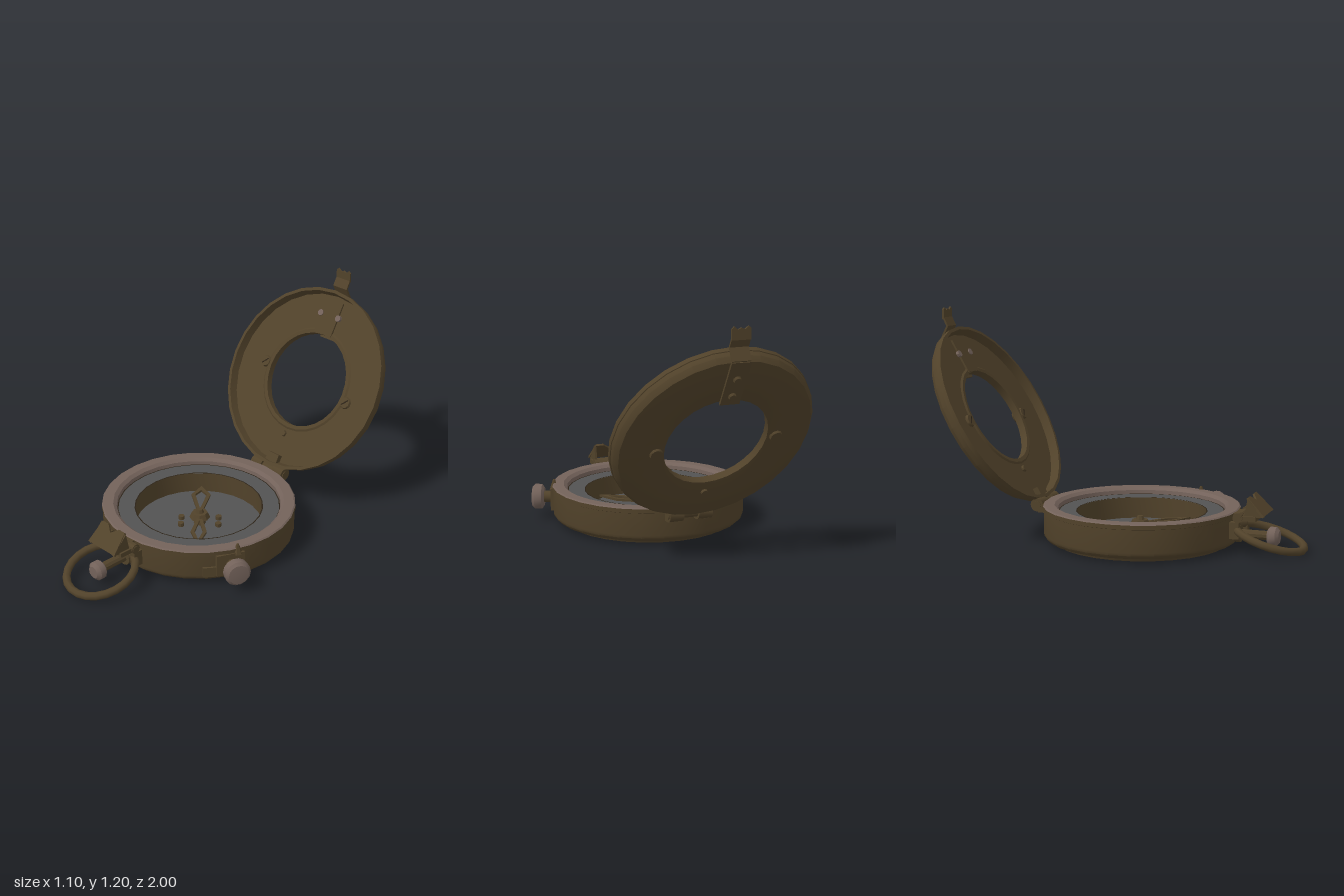
import * as THREE from 'three';
import { toCreasedNormals } from 'three/addons/utils/BufferGeometryUtils.js';

const makeMat = (name, color, side = THREE.FrontSide) => {
  const m = new THREE.MeshStandardMaterial({ color, side });
  m.name = name;
  return m;
};

export function createModel() {
  const brass = makeMat('dark brass', 0x51422a);
  const bezelMat = makeMat('worn copper', 0x73625a);
  const dialMat = makeMat('grey dial', 0x525252);
  const lineMat = makeMat('dark line', 0x2a2116);

  const root = new THREE.Group();
  root.name = 'pocketCompass';
  root.position.x = -0.045;

  const add = (parent, name, geo, mat, pos = [0, 0, 0], rot = [0, 0, 0]) => {
    const m = new THREE.Mesh(geo, mat);
    m.name = name;
    m.position.set(...pos);
    m.rotation.set(...rot);
    parent.add(m);
    return m;
  };
  const group = (parent, name, pos, rot = [0, 0, 0]) => {
    const g = new THREE.Group();
    g.name = name;
    g.position.set(...pos);
    g.rotation.set(...rot);
    parent.add(g);
    return g;
  };
  const lathe = (pts, seg = 28) =>
    toCreasedNormals(new THREE.LatheGeometry(pts.map(p => new THREE.Vector2(...p)), seg), 0.6);
  const shapeOf = pts => new THREE.Shape(pts.map(p => new THREE.Vector2(...p)));
  const extrude = (shape, depth) => new THREE.ExtrudeGeometry(shape, { depth, bevelEnabled: false });
  // side profile given as (z, y), centred across x
  const acrossX = (pts, width) => extrude(shapeOf(pts), width).rotateY(-Math.PI / 2).translate(width / 2, 0, 0);
  const box = (x, y, z) => new THREE.BoxGeometry(x, y, z);
  const cyl = (r, h, seg = 12, r2 = r) => toCreasedNormals(new THREE.CylinderGeometry(r, r2, h, seg), 0.6);
  const Q = Math.PI / 2;

  // Case
  const body = group(root, 'case', [0, 0, 0.125]);
  add(body, 'caseShell', lathe([[0, 0.022], [0.33, 0.022], [0.34, 0.005], [0.445, 0.005], [0.455, 0.024],
    [0.49, 0.027], [0.508, 0.045], [0.511, 0.06], [0.511, 0.176], [0.515, 0.178], [0.515, 0.199]]), brass);
  add(body, 'baseBoss', cyl(0.1, 0.012, 14), brass, [0, 0.018, 0]);
  add(body, 'bezel', lathe([[0.515, 0.199], [0.508, 0.205], [0.455, 0.205], [0.437, 0.19], [0.434, 0.165]]), bezelMat);
  add(body, 'dialRing', lathe([[0.436, 0.168], [0.34, 0.168]]), dialMat);
  add(body, 'dialOuterLine', lathe([[0.436, 0.170], [0.429, 0.170]]), lineMat);
  add(body, 'dialInnerLine', lathe([[0.343, 0.170], [0.337, 0.170]]), lineMat);
  add(body, 'innerWall', lathe([[0.34, 0.168], [0.34, 0.05]]), brass);
  add(body, 'dialFloor', lathe([[0.34, 0.055], [0, 0.055]]), dialMat);

  // Needle: two open lozenges on a pivot
  const needle = group(body, 'needle', [-0.002, 0.105, -0.008], [0, -0.795, 0]);
  const lozenge = (r0, rm, r1, w) => {
    const s = shapeOf([[r0, -0.012], [rm, -w], [r1, 0], [rm, w], [r0, 0.012]]);
    s.holes.push(new THREE.Path([[r0 + 0.03, 0], [rm, w - 0.02], [r1 - 0.045, 0], [rm, 0.02 - w]]
      .map(p => new THREE.Vector2(...p))));
    return extrude(s, 0.012).rotateX(Q);
  };
  add(needle, 'needleSouth', lozenge(0.03, 0.17, 0.295, 0.042), brass);
  add(needle, 'needleNorth', lozenge(0.03, 0.21, 0.3, 0.052), brass, [0, 0, 0], [0, Math.PI, 0]);
  add(needle, 'needleHub', cyl(0.042, 0.03, 8, 0.056), brass);
  add(needle, 'needleCap', cyl(0.016, 0.02, 8, 0.024), brass, [0, 0.024, 0]);
  add(needle, 'needlePivot', cyl(0.018, 0.055, 8, 0.035), brass, [0, -0.028, 0]);
  for (const s of [-1, 1]) for (const t of [-0.035, 0.035])
    add(needle, 'floorStud', cyl(0.017, 0.02, 8), brass, [t, -0.04, s * 0.1]);

  // Lid, leaning back 30 degrees; its local +z is the inner face
  const lid = group(root, 'lid', [0, 0.635, -0.695], [-Math.PI / 6, 0, 0]);
  add(lid, 'lidRing', lathe([[0.265, -0.045], [0.285, -0.05], [0.44, -0.05], [0.49, -0.04], [0.509, -0.015],
    [0.511, 0.012], [0.515, 0.014], [0.515, 0.038], [0.498, 0.038], [0.488, -0.01], [0.295, -0.01],
    [0.285, -0.003], [0.265, -0.005], [0.265, -0.045]]).rotateX(Q), brass);
  const rivet = (x, y, r) => {
    for (const [z, s] of [[-0.007, 1], [-0.052, -1]]) {
      add(lid, 'rivet', cyl(r * 0.8, 0.018, 10, r), brass, [x, y, z], [s * Q, 0, 0]);
      if (r > 0.03 && s > 0) add(lid, 'rivetSlot', box(r * 1.3, 0.006, 0.004), lineMat, [x, y, 0.002], [0, 0, 0.8]);
    }
  };
  rivet(-0.31, 0.01, 0.037);
  rivet(0.305, -0.035, 0.037);
  rivet(-0.01, -0.325, 0.02);
  add(lid, 'sightInnerPlate', box(0.122, 0.195, 0.012), brass, [-0.005, 0.362, -0.006]);
  for (const x of [-0.065, 0.06])
    add(lid, 'sightPin', cyl(0.018, 0.016, 8), bezelMat, [x, 0.375, -0.002], [Q, 0, 0]);
  add(lid, 'sightStrap', box(0.1, 0.25, 0.012), brass, [0, 0.375, -0.055]);
  for (const y of [0.3, 0.4])
    add(lid, 'strapStud', cyl(0.022, 0.014, 10, 0.016), brass, [0, y, -0.066], [Q, 0, 0]);

  // Bent rear sight with a notched tip
  add(root, 'rearSightBend', acrossX([[-0.985, 1.03], [-0.998, 1.045], [-0.967, 1.105], [-0.99, 1.15],
    [-0.98, 1.15], [-0.956, 1.105], [-0.985, 1.045], [-0.975, 1.035]], 0.096), brass);
  add(root, 'rearSightTip', extrude(shapeOf([[-0.048, 1.14], [0.048, 1.14], [0.048, 1.192], [0.036, 1.203],
    [0.018, 1.188], [0, 1.196], [-0.018, 1.188], [-0.036, 1.203], [-0.048, 1.192]]), 0.01), brass, [0, 0, -0.99]);

  // Hinge
  add(root, 'hingePin', cyl(0.022, 0.24), brass, [0, 0.18, -0.42], [0, 0, Q]);
  for (const s of [-1, 1]) {
    add(root, 'hingeBarrel', cyl(0.036, 0.075), brass, [s * 0.078, 0.18, -0.42], [0, 0, Q]);
    add(root, 'hingeTab', box(0.07, 0.05, 0.08), brass, [s * 0.078, 0.165, -0.375]);
  }
  add(root, 'hingeLidTab', box(0.08, 0.09, 0.03), brass, [0, 0.215, -0.44], [-Math.PI / 6, 0, 0]);

  // Carrying ring and its bolt
  add(root, 'carryRing', new THREE.TorusGeometry(0.18, 0.021, 8, 22), brass, [0, 0.077, 0.81], [Q + 0.29, 0, 0]);
  add(root, 'ringBolt', cyl(0.024, 0.19, 10), brass, [0, 0.085, 0.72], [Q, 0, 0]);
  add(root, 'ringBoltCollar', cyl(0.045, 0.03, 10), brass, [0, 0.085, 0.645], [Q, 0, 0]);
  add(root, 'ringBoltHead', lathe([[0, -0.03], [0.035, -0.03], [0.05, -0.018], [0.05, 0.014], [0.032, 0.03],
    [0, 0.032]], 12).rotateX(Q), bezelMat, [0, 0.083, 0.83]);

  // Front sight: sloped notched plate between triangular cheeks
  const sight = group(root, 'frontSight', [0, 0, 0]);
  for (const s of [-1, 1]) {
    add(sight, 'sightCheek', acrossX([[0.695, 0.185], [0.8, 0.195], [0.715, 0.285]], 0.012), brass, [s * 0.088, 0, 0]);
    add(sight, 'sightLug', box(0.036, 0.085, 0.05), brass, [s * 0.09, 0.12, 0.65]);
    add(sight, 'sightKnuckle', cyl(0.026, 0.04, 10), brass, [s * 0.092, 0.187, 0.668], [0, 0, Q]);
  }
  add(sight, 'sightPlate', extrude(shapeOf([[-0.1, 0], [0.1, 0], [0.085, 0.125], [0.04, 0.125], [0, 0.09],
    [-0.04, 0.125], [-0.085, 0.125]]), 0.012), brass, [0, 0.193, 0.793], [-0.77, 0, 0]);
  add(sight, 'sightFoot', box(0.21, 0.025, 0.1), brass, [0, 0.185, 0.71]);
  add(sight, 'sightPin', cyl(0.018, 0.23, 10), brass, [0, 0.187, 0.668], [0, 0, Q]);
  add(sight, 'sightCatch', box(0.12, 0.02, 0.06), brass, [0, 0.19, 0.65]);

  // Side knob with its bracket, pointing outward along local +x
  const knob = group(root, 'sideKnob', [0, 0.118, 0.125], [0, -0.436, 0]);
  add(knob, 'knobBracket', box(0.04, 0.12, 0.15), brass, [0.5, 0, 0.005]);
  add(knob, 'bracketArm', box(0.035, 0.055, 0.09), brass, [0.492, -0.034, 0.1], [0, -0.2, 0]);
  add(knob, 'bracketPeak', cyl(0.006, 0.055, 6, 0.026), brass, [0.505, 0.077, -0.035]);
  add(knob, 'knobShaft', cyl(0.032, 0.08), brass, [0.54, 0, 0], [0, 0, Q]);
  add(knob, 'knobHead', lathe([[0, -0.034], [0.05, -0.034], [0.067, -0.022], [0.068, 0.016], [0.054, 0.03],
    [0, 0.036]], 14).rotateZ(-Q), bezelMat, [0.595, 0, 0]);

  return root;
}
